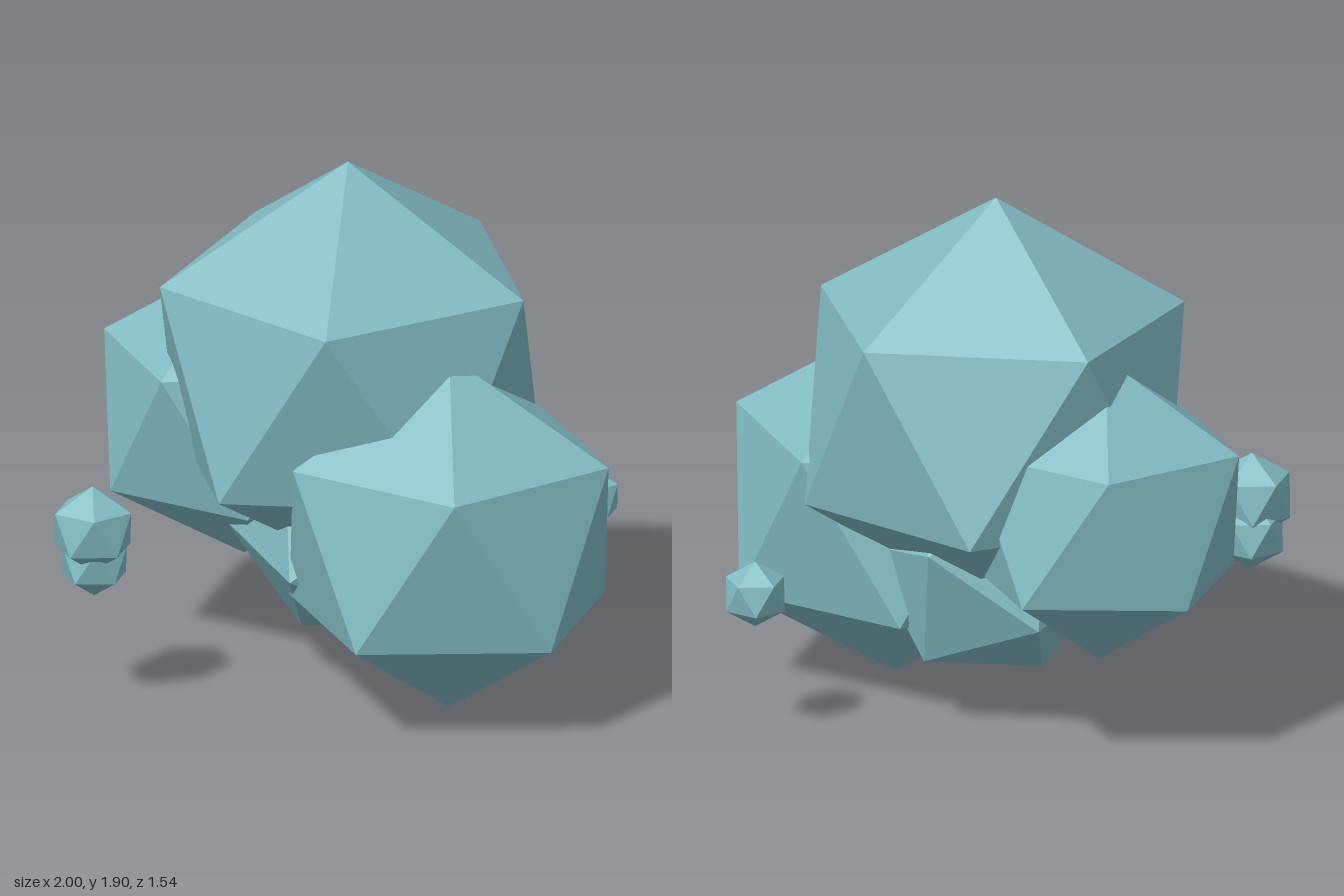
import * as THREE from 'three';

// Rotation frame with its y axis along `up` and its x axis leaning toward `side`
function frame(up, side) {
  const y = up.clone().normalize();
  const z = new THREE.Vector3().crossVectors(side, y).normalize();
  const x = new THREE.Vector3().crossVectors(y, z);
  return new THREE.Matrix4().makeBasis(x, y, z);
}

const T = (1 + Math.sqrt(5)) / 2;
// Two adjacent corners of the built-in icosahedron
const NATIVE = frame(new THREE.Vector3(-1, T, 0), new THREE.Vector3(1, T, 0)).invert();

export function createModel() {
  const group = new THREE.Group();
  const stone = new THREE.MeshStandardMaterial({ color: 0x82bcc4, flatShading: true });
  stone.name = 'paleTeal';

  // Faceted rock: centre, radius, direction of the top corner, direction of one of its neighbours
  function rock(name, centre, radius, up = [0, 1, 0], side = [1, 0.5, 0]) {
    const geometry = new THREE.IcosahedronGeometry(radius, 0);
    geometry.applyMatrix4(NATIVE);
    geometry.applyMatrix4(frame(new THREE.Vector3(...up), new THREE.Vector3(...side)));
    const mesh = new THREE.Mesh(geometry, stone);
    mesh.name = name;
    mesh.position.set(...centre);
    group.add(mesh);
  }

  // Main cluster
  rock('topRock', [-0.04, 1.15, -0.077], 0.76, [0.003, 1, 0.034], [0.11, 0.315, 0.682]);
  rock('frontRock', [0.41, 0.66, 0.213], 0.655);
  rock('backRock', [-0.5, 0.873, -0.29], 0.555, [-0.012, 1, 0.03], [-0.5, 0.25, 0.01]);
  rock('lowerRock', [-0.03, 0.58, -0.08], 0.453, [0.17, 0.414, -0.05], [0.12, 0.15, -0.43]);

  // Floating pebbles
  rock('upperPebble', [-0.8, 0.667, 0.555], 0.158);
  rock('lowerPebble', [-0.805, 0.54, 0.52], 0.134);
  rock('backPebble', [0.685, 0.542, -0.605], 0.121);

  return group;
}
